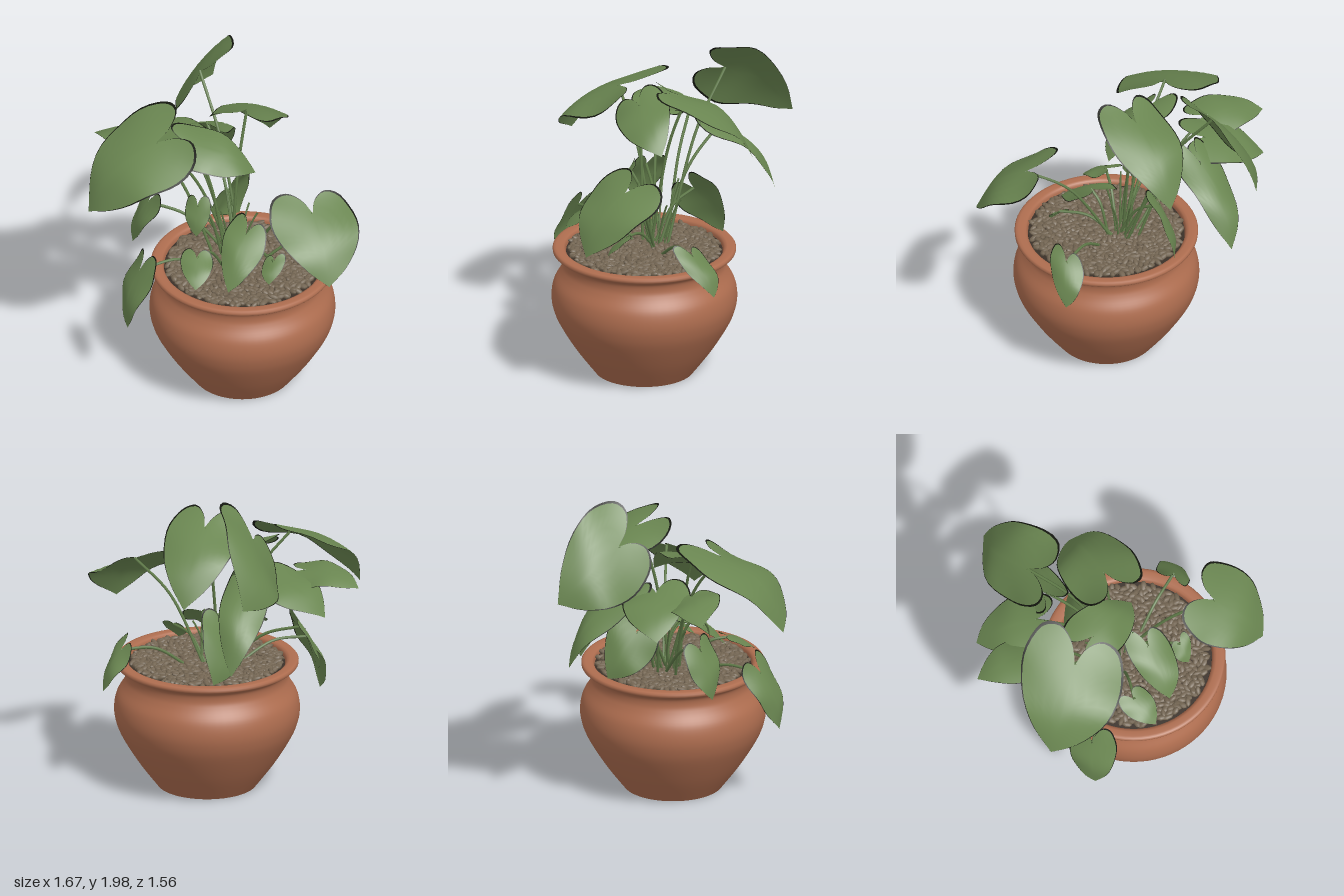
import * as THREE from 'three';
import { mergeGeometries } from 'three/addons/utils/BufferGeometryUtils.js';

const V = (x, y, z) => new THREE.Vector3(x, y, z);
const mat = (name, color, side = THREE.FrontSide) => {
  const m = new THREE.MeshStandardMaterial({ color, side });
  m.name = name;
  return m;
};
const POT_X = 0.11, POT_Z = 0.22;

// Half of a heart outline: (along the midrib, across in half widths)
const OUTLINE = new THREE.CatmullRomCurve3(
  [[0, 0], [-0.18, 0.14], [-0.31, 0.45], [-0.22, 0.82], [0.08, 1], [0.42, 0.88], [0.75, 0.5], [1, 0]]
    .map(([u, v]) => V(u, v, 0)));
const ACROSS = [-1, -0.965, -0.8, -0.6, -0.4, -0.2, 0, 0.2, 0.4, 0.6, 0.8, 0.965, 1];

// Heart-shaped blade from the stalk notch to the tip; w is the half-width vector.
// Group 0 is the blade, group 1 its narrow dark rim.
function leafGeometry(notch, tip, w, phase) {
  const along = tip.clone().sub(notch), len = along.length();
  const arch = 0.03 + 0.2 * len; // longer leaves arch more
  const up = w.clone().cross(along).normalize();
  const flip = up.y < 0;
  if (flip) up.negate();
  const rows = 24, cols = ACROSS.length - 1, pos = [], blade = [], rim = [];
  for (let i = 0; i <= rows; i++) {
    const t = i / rows, e = OUTLINE.getPoint(t);
    ACROSS.forEach((s, j) => {
      const u = t + (e.x - t) * Math.abs(s), v = e.y * s;
      const lift = len * (arch * Math.sin(Math.PI * u) - 0.09 * v * v
        + 0.03 * v * Math.sin(8 * u + phase));
      const p = notch.clone().addScaledVector(along, u).addScaledVector(w, v).addScaledVector(up, lift);
      pos.push(p.x, p.y, p.z);
      if (i < rows && j < cols) {
        const k = i * (cols + 1) + j, n = k + cols + 1;
        (j === 0 || j === cols - 1 ? rim : blade).push(k, k + 1, n, k + 1, n + 1, n);
      }
    });
  }
  // Wind the faces so the front side looks upward
  const index = flip ? [...blade.reverse(), ...rim.reverse()] : [...blade, ...rim];
  const g = new THREE.BufferGeometry();
  g.setAttribute('position', new THREE.Float32BufferAttribute(pos, 3));
  g.setIndex(index);
  g.computeVertexNormals();
  g.addGroup(0, blade.length, 0);
  g.addGroup(blade.length, rim.length, 1);
  return g;
}

// notch, tip, half-width vector
const LEAVES = [
  [[-0.21, 1.77, -0.37], [-0.17, 1.47, -0.78], [0.17, 0.23, -0.06]],
  [[0.11, 1.73, -0.04], [0.21, 1.34, -0.43], [0.22, 0.02, 0.05]],
  [[-0.33, 1.47, -0.18], [-0.64, 1.29, -0.37], [-0.1, 0.03, 0.18]],
  [[-0.16, 1.43, -0.32], [-0.09, 1.0, -0.65], [0.14, 0.02, 0.03]],
  [[-0.5, 1.47, -0.03], [-0.83, 1.41, -0.17], [-0.06, 0.03, 0.15]],
  [[-0.41, 1.64, 0.24], [-0.8, 1.24, 0.43], [-0.14, 0.08, -0.28]],
  [[-0.19, 1.59, 0.17], [0.18, 1.39, 0.13], [-0.02, 0.07, -0.16]],
  [[0.56, 1.34, 0.46], [0.69, 1.0, 0.74], [0.25, -0.02, -0.1]],
  [[0.62, 0.9, 0.05], [0.72, 0.67, -0.05], [0.03, 0.03, 0.11]],
  [[-0.49, 0.86, 0.47], [-0.55, 0.5, 0.56], [0.08, 0.03, 0.12]],
  [[-0.48, 1.08, 0.05], [-0.57, 0.8, 0.07], [0.05, 0.02, 0.13]],
  [[-0.01, 1.09, -0.12], [0.04, 0.81, -0.29], [0.11, 0.11, -0.07]],
  [[-0.16, 1.2, 0.24], [-0.16, 1.02, 0.31], [0.08, 0.01, 0.02]],
  [[0.14, 1.06, 0.32], [0.06, 0.81, 0.58], [0.12, -0.03, 0.07]],
  [[-0.14, 0.98, 0.48], [-0.13, 0.86, 0.65], [0.1, 0, 0.01]],
  [[0.32, 0.94, 0.41], [0.3, 0.83, 0.5], [0.07, 0.02, 0]],
];

// Round-bellied pot with a flared rim and an inner wall
function potGeometry() {
  const side = new THREE.SplineCurve(
    [[0.3, 0], [0.415, 0.155], [0.512, 0.315], [0.55, 0.41], [0.56, 0.49], [0.545, 0.57], [0.505, 0.64],
      [0.487, 0.685], [0.49, 0.73], [0.518, 0.756], [0.545, 0.768]].map(([r, y]) => new THREE.Vector2(r, y)));
  const lip = [[0.552, 0.775], [0.553, 0.788], [0.545, 0.798], [0.53, 0.8], [0.5, 0.8], [0.485, 0.795],
    [0.475, 0.78], [0.47, 0.72]].map(([r, y]) => new THREE.Vector2(r, y));
  return new THREE.LatheGeometry([...side.getPoints(44), ...lip], 72);
}

// Flattened oval pebbles scattered in a sunflower spiral
function pebbleGeometry(count, radius) {
  let seed = 7;
  const rnd = () => (seed = (seed * 16807) % 2147483647) / 2147483647;
  const parts = [];
  for (let i = 0; i < count; i++) {
    const r = radius * Math.sqrt((i + 0.5) / count), a = i * 2.39996;
    const g = new THREE.SphereGeometry(1, 7, 5);
    g.scale(0.03 + 0.01 * rnd(), 0.013 + 0.004 * rnd(), 0.016 + 0.005 * rnd());
    g.rotateZ((rnd() - 0.5) * 0.9);
    g.rotateY(rnd() * Math.PI);
    g.translate(r * Math.cos(a), 0.776 + 0.012 * rnd(), r * Math.sin(a));
    parts.push(g);
  }
  return mergeGeometries(parts);
}

export function createModel() {
  const group = new THREE.Group();
  group.name = 'pottedPlant';
  const clay = mat('terracotta', 0xae6d4f);
  const leafGreen = mat('leafGreen', 0x6a8651, THREE.DoubleSide);
  const rimDark = mat('leafRimDark', 0x14170f, THREE.DoubleSide);
  const stemGreen = mat('stemGreen', 0x5f7a48);
  const stone = mat('pebbleBrown', 0x736552);
  const soilBrown = mat('soilBrown', 0x3a3028);
  const add = (name, geometry, material, parent = group) => {
    const m = new THREE.Mesh(geometry, material);
    m.name = name;
    parent.add(m);
  };

  // Pot and its filling
  const pot = new THREE.Group();
  pot.name = 'filledPot';
  pot.position.set(POT_X, 0, POT_Z);
  group.add(pot);
  add('pot', potGeometry(), clay, pot);
  add('potBase', new THREE.CircleGeometry(0.3, 72).rotateX(Math.PI / 2), clay, pot);
  add('soil', new THREE.CylinderGeometry(0.472, 0.472, 0.04, 48).translate(0, 0.75, 0), soilBrown, pot);
  add('pebbles', pebbleGeometry(680, 0.45), stone, pot);

  // Leaves on arching stalks that rise from one clump
  LEAVES.forEach(([n, t, w], i) => {
    const notch = V(...n);
    add('leaf' + (i + 1), leafGeometry(notch, V(...t), V(...w), i * 1.7), [leafGreen, rimDark]);
    const a = i * 2.4;
    const root = V(0.06 + 0.06 * Math.cos(a) + 0.15 * n[0], 0.76, 0.13 + 0.05 * Math.sin(a) + 0.15 * n[2]);
    const mid = root.clone().lerp(notch, 0.5);
    mid.y += 0.12 * (notch.y - 0.76) + 0.05;
    const path = new THREE.CatmullRomCurve3([root, mid, notch]);
    add('stalk' + (i + 1), new THREE.TubeGeometry(path, 18, 0.009, 6), stemGreen);
  });

  // Young leafless shoots in the clump
  for (let i = 0; i < 7; i++) {
    const a = i * 0.9, c = Math.cos(a), s = Math.sin(a);
    const path = new THREE.QuadraticBezierCurve3(
      V(0.05 + 0.05 * c, 0.76, 0.13 + 0.05 * s),
      V(0.04 + 0.07 * c, 0.95, 0.12 + 0.07 * s),
      V(0.02 + 0.17 * c, 1.08 + 0.04 * (i % 3), 0.1 + 0.13 * s));
    add('shoot' + (i + 1), new THREE.TubeGeometry(path, 10, 0.006, 5), stemGreen);
  }
  return group;
}
